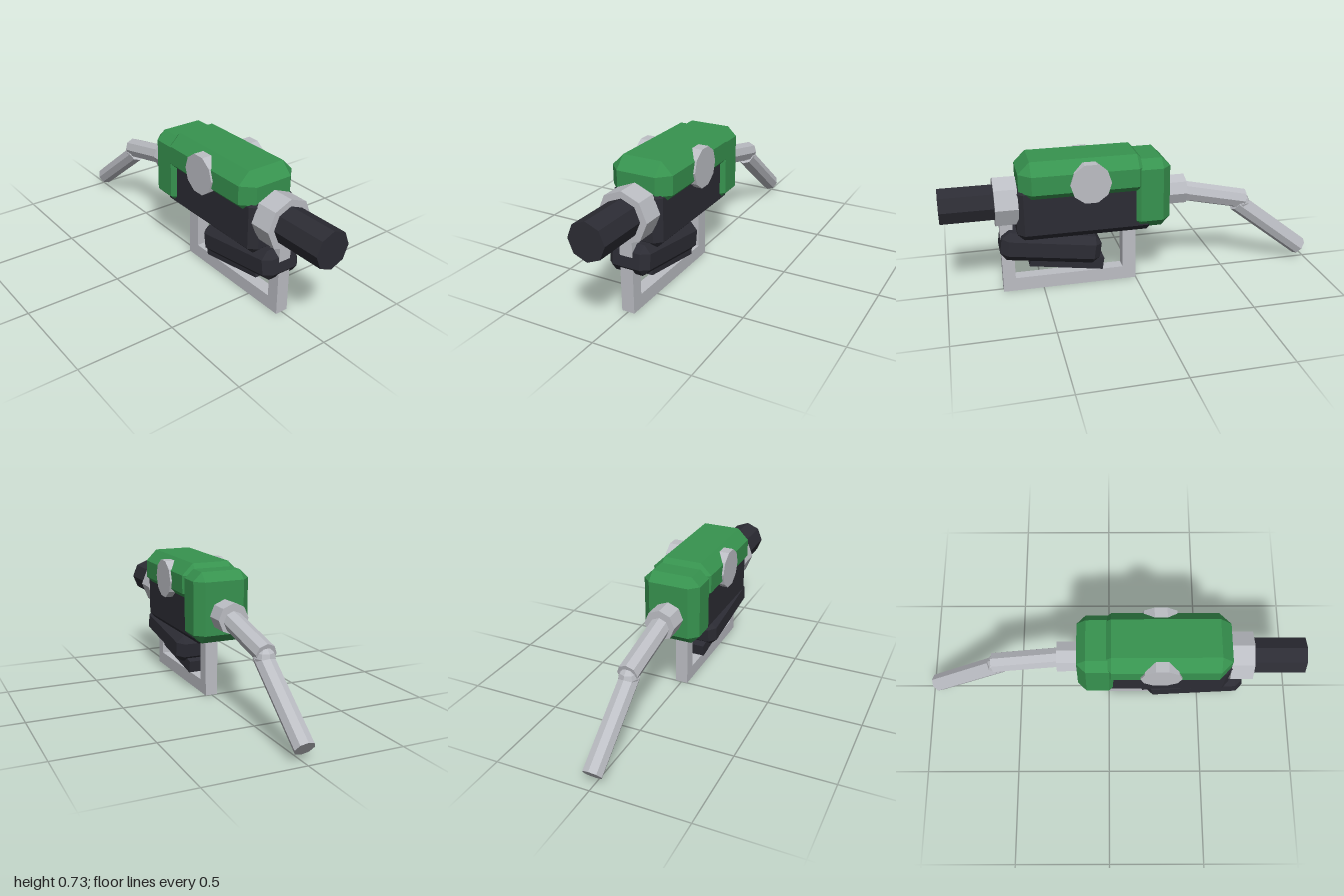
import * as THREE from 'three';
import { ConvexGeometry } from 'three/addons/geometries/ConvexGeometry.js';

const material = (name, color) => {
  const m = new THREE.MeshStandardMaterial({ color, flatShading: true });
  m.name = name;
  return m;
};

// Box with equal chamfers on every edge, centred on the origin
function chamferBox(w, h, d, c) {
  const points = [];
  for (const sx of [-1, 1]) for (const sy of [-1, 1]) for (const sz of [-1, 1]) {
    const [x, y, z] = [w / 2, h / 2, d / 2];
    for (const p of [[x, y - c, z - c], [x - c, y, z - c], [x - c, y - c, z]]) {
      points.push(new THREE.Vector3(p[0] * sx, p[1] * sy, p[2] * sz));
    }
  }
  return new ConvexGeometry(points);
}

export function createModel() {
  const model = new THREE.Group();
  model.name = 'fuelNozzle';
  const green = material('green', 0x37934f);
  const grey = material('lightGrey', 0xbcbec4);
  const black = material('black', 0x2c2c34);

  function add(name, geometry, mat, y = 0, z = 0, tilt = 0) {
    const mesh = new THREE.Mesh(geometry, mat);
    mesh.name = name;
    mesh.position.set(0, y, z);
    mesh.rotation.x = tilt;
    model.add(mesh);
    return mesh;
  }

  // Chamfered block given by its half width and its y and z ranges
  const block = (name, mat, hx, y0, y1, z0, z1, c) =>
    add(name, chamferBox(hx * 2, y1 - y0, z1 - z0, c), mat, (y0 + y1) / 2, (z0 + z1) / 2);

  // Plain bar given the same way
  const bar = (name, mat, hx, y0, y1, z0, z1) =>
    add(name, new THREE.BoxGeometry(hx * 2, y1 - y0, z1 - z0), mat, (y0 + y1) / 2, (z0 + z1) / 2);

  // Eight-sided pipe between two (y, z) points in the middle plane
  const pipe = (name, mat, r, [y0, z0], [y1, z1]) =>
    add(name, new THREE.CylinderGeometry(r, r, Math.hypot(y1 - y0, z1 - z0), 8), mat,
      (y0 + y1) / 2, (z0 + z1) / 2, Math.atan2(z1 - z0, y1 - y0));

  // Body
  block('body', black, 0.131, 0.31, 0.6, -0.08, 0.627, 0.036);
  block('topCover', green, 0.161, 0.51, 0.725, -0.05, 0.61, 0.06);
  block('rearCover', green, 0.153, 0.33, 0.7, -0.163, 0.045, 0.046);

  // Round side plates
  for (const side of [-1, 1]) {
    const plate = new THREE.CylinderGeometry(0.104, 0.104, 0.09, 10);
    plate.rotateZ(Math.PI / 2);
    add(side > 0 ? 'leftPlate' : 'rightPlate', plate, grey, 0.61, 0.258).position.x = side * 0.126;
  }

  // Hose and its collar
  pipe('hoseCollar', grey, 0.131, [0.495, 0.615], [0.495, 0.73]);
  pipe('hose', black, 0.096, [0.495, 0.72], [0.495, 1]);

  // Bent spout
  pipe('spoutCollar', grey, 0.082, [0.48, -0.15], [0.48, -0.268]);
  pipe('spoutUpper', grey, 0.054, [0.478, -0.22], [0.39, -0.61]);
  add('spoutElbow', new THREE.SphereGeometry(0.052, 8, 6), grey, 0.372, -0.597);
  pipe('spoutLower', grey, 0.05, [0.372, -0.575], [0.065, -0.967]);

  // Trigger and the lever beneath it
  add('trigger', chamferBox(0.218, 0.15, 0.52, 0.036), black, 0.242, 0.455, -0.15);
  add('lever', new THREE.BoxGeometry(0.105, 0.065, 0.39), black, 0.143, 0.373, -0.16);

  // Guard frame
  bar('guardBottom', grey, 0.034, 0, 0.072, 0, 0.71);
  bar('guardFront', grey, 0.034, 0.072, 0.385, 0.645, 0.71);
  bar('guardRear', grey, 0.034, 0.072, 0.34, 0, 0.072);

  return model;
}
